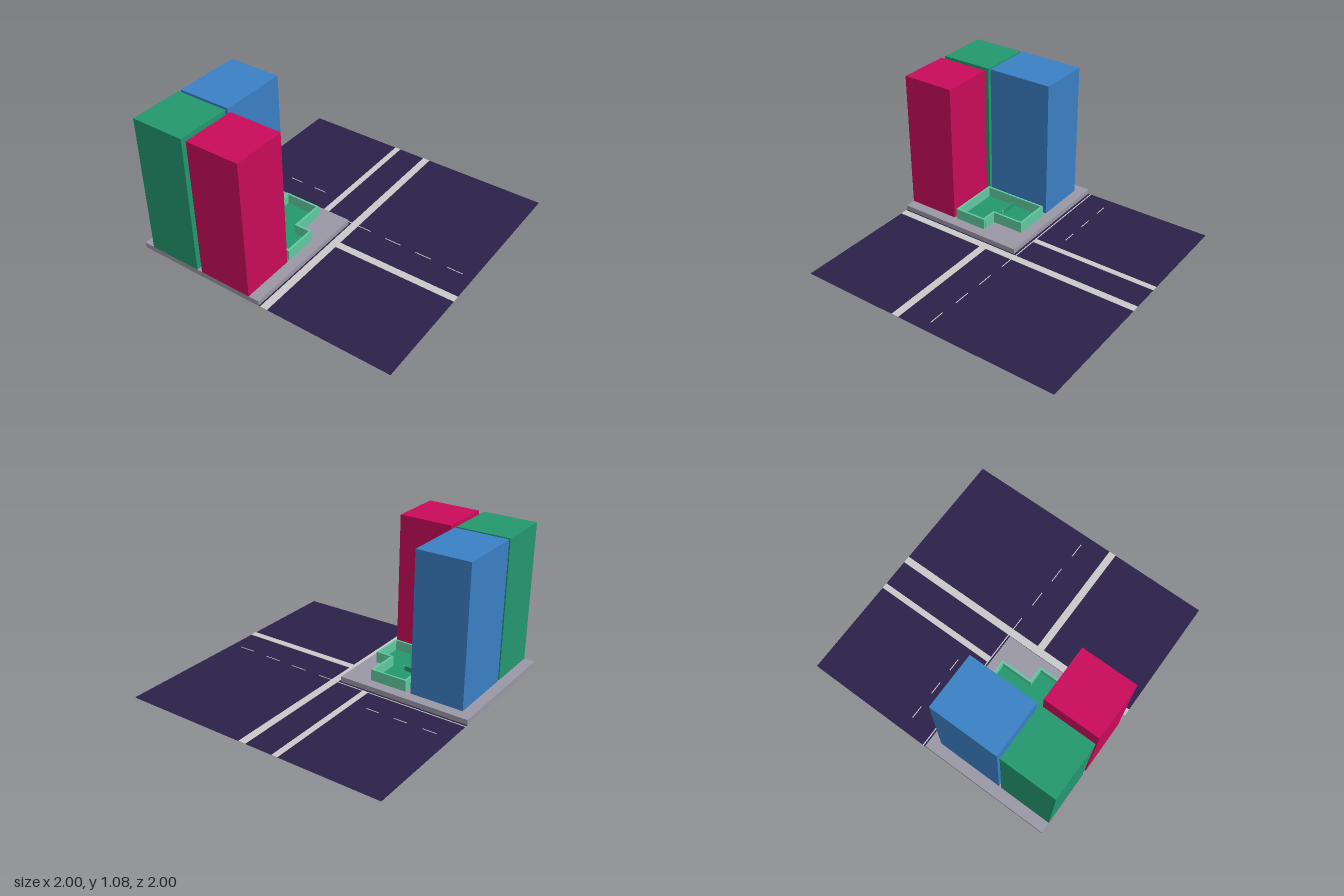
import * as THREE from 'three';

const mat = (name, color) => {
  const m = new THREE.MeshStandardMaterial({ color });
  m.name = name;
  return m;
};

export function createModel() {
  const model = new THREE.Group();
  model.name = 'cityBlock';
  const asphalt = mat('darkPurple', 0x2c2148);
  asphalt.side = THREE.DoubleSide;
  const paint = mat('paleGrey', 0xcac9ca);
  const stone = mat('stoneGrey', 0x9a97a4);
  const red = mat('crimson', 0xc90c5a);
  const blue = mat('blue', 0x3b80c5);
  const green = mat('green', 0x23976f);
  const mint = mat('mint', 0x60caa2);

  const add = (name, geometry, material) => {
    const mesh = new THREE.Mesh(geometry, material);
    mesh.name = name;
    model.add(mesh);
    return mesh;
  };
  // Box given by its extents along each axis
  const box = (name, material, x0, x1, y0, y1, z0, z1) => {
    const g = new THREE.BoxGeometry(x1 - x0, y1 - y0, z1 - z0);
    g.translate((x0 + x1) / 2, (y0 + y1) / 2, (z0 + z1) / 2);
    return add(name, g, material);
  };
  // Outline in plan, as [x, z] pairs; shape y is -z
  const plan = (pts) => pts.map(([x, z]) => new THREE.Vector2(x, -z));

  // Flat ground around the raised block
  const ground = new THREE.ShapeGeometry(new THREE.Shape(plan(
    [[-1, 0], [-1, 1], [1, 1], [1, -1], [0, -1], [0, 0]])));
  ground.rotateX(-Math.PI / 2).translate(0, 0.002, 0);
  add('ground', ground, asphalt);

  // Pale paths and lane markings
  const strip = (name, x0, x1, z0, z1) => box(name, paint, x0, x1, 0, 0.004, z0, z1);
  strip('mainPath', -1, 1, 0.012, 0.068);
  strip('eastPath', 0.02, 1, -0.245, -0.2);
  strip('southPath', -0.255, -0.2, 0.068, 1);
  strip('kerbLine', 0.018, 0.026, -1, 0.012);
  for (const z of [-0.89, -0.67, -0.455]) strip('eastDash', 0.202, 0.208, z, z + 0.1);
  [[0.021, 0.068, 0.175], [0.017, 0.3, 0.425], [0.012, 0.545, 0.67], [0.006, 0.8, 0.92]]
    .forEach(([x, z0, z1]) => strip('southDash', x - 0.003, x + 0.003, z0, z1));

  // Raised plinth and three towers
  box('plinth', stone, -1, 0, 0, 0.04, -1, 0);
  box('redTower', red, -1, -0.6, 0.04, 1.08, -0.48, -0.08);
  box('greenTower', green, -1, -0.6, 0.04, 1.08, -0.92, -0.52);
  box('blueTower', blue, -0.58, -0.08, 0.04, 1.08, -0.92, -0.52);

  // L-shaped roofless house: floor inside a wall ring
  const outer = plan([[-0.58, -0.08], [-0.325, -0.08], [-0.325, -0.2],
    [-0.08, -0.2], [-0.08, -0.48], [-0.58, -0.48]]);
  const inner = plan([[-0.565, -0.095], [-0.34, -0.095], [-0.34, -0.215],
    [-0.095, -0.215], [-0.095, -0.465], [-0.565, -0.465]]);
  const wallShape = new THREE.Shape(outer);
  wallShape.holes.push(new THREE.Path(inner));
  const extrude = (shape, depth) => new THREE.ExtrudeGeometry(shape, { depth, bevelEnabled: false })
    .rotateX(-Math.PI / 2).translate(0, 0.04, 0);
  add('houseWalls', extrude(wallShape, 0.083), mint);
  add('houseFloor', extrude(new THREE.Shape(inner), 0.006), green);

  // Inner partition with a small end post, and the door panel
  box('partition', green, -0.34, -0.326, 0.046, 0.08, -0.465, -0.32);
  box('partitionPost', mint, -0.338, -0.328, 0.046, 0.08, -0.32, -0.308);
  box('doorPanel', mint, -0.326, -0.322, 0.046, 0.105, -0.18, -0.097);
  return model;
}
